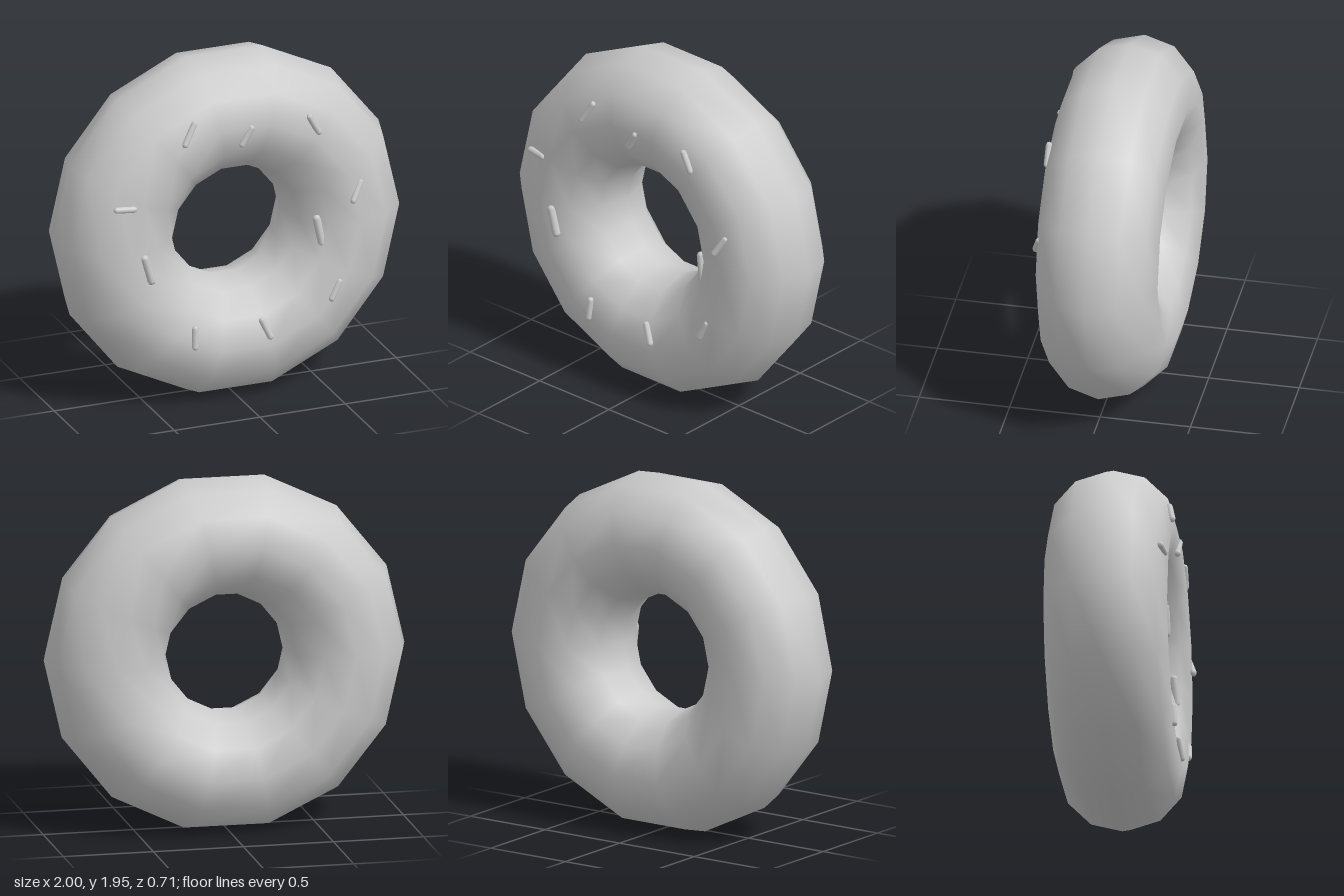
import * as THREE from 'three';

export function createModel() {
  const model = new THREE.Group();
  model.name = 'doughnut';
  const dough = new THREE.MeshStandardMaterial({ color: 0xcccccc });
  dough.name = 'plainGrey';

  // Ring: 14 segments around, 12-sided cross-section, smooth normals
  const ring = new THREE.Mesh(new THREE.TorusGeometry(0.6625, 0.3375, 12, 14), dough);
  ring.name = 'ring';
  ring.position.set(0, 0.977, -0.018);
  ring.rotation.y = -0.006;
  model.add(ring);

  // Sprinkles: start point, end point, radius
  const sprinkles = [
    [[-0.365, 1.575, 0.315], [-0.295, 1.695, 0.29], 0.018],
    [[-0.03, 1.525, 0.308], [0.03, 1.63, 0.316], 0.018],
    [[0.365, 1.64, 0.308], [0.425, 1.53, 0.31], 0.018],
    [[0.61, 1.105, 0.335], [0.67, 1.21, 0.302], 0.018],
    [[0.435, 1.01, 0.24], [0.465, 0.85, 0.255], 0.023],
    [[0.49, 0.545, 0.32], [0.545, 0.65, 0.312], 0.018],
    [[0.09, 0.485, 0.298], [0.14, 0.375, 0.318], 0.018],
    [[-0.305, 0.38, 0.32], [-0.3, 0.5, 0.308], 0.018],
    [[-0.595, 0.955, 0.298], [-0.55, 0.8, 0.3], 0.024],
    [[-0.76, 1.25, 0.285], [-0.645, 1.245, 0.302], 0.018],
  ];
  const up = new THREE.Vector3(0, 1, 0);
  sprinkles.forEach(([start, end, radius], i) => {
    const a = new THREE.Vector3(...start);
    const b = new THREE.Vector3(...end);
    const axis = b.clone().sub(a);
    const length = axis.length();
    const geometry = new THREE.CapsuleGeometry(radius, length - radius, 2, 8);
    const mesh = new THREE.Mesh(geometry, dough);
    mesh.name = `sprinkle${i + 1}`;
    mesh.position.copy(a).add(b).multiplyScalar(0.5);
    mesh.quaternion.setFromUnitVectors(up, axis.normalize());
    model.add(mesh);
  });

  return model;
}
